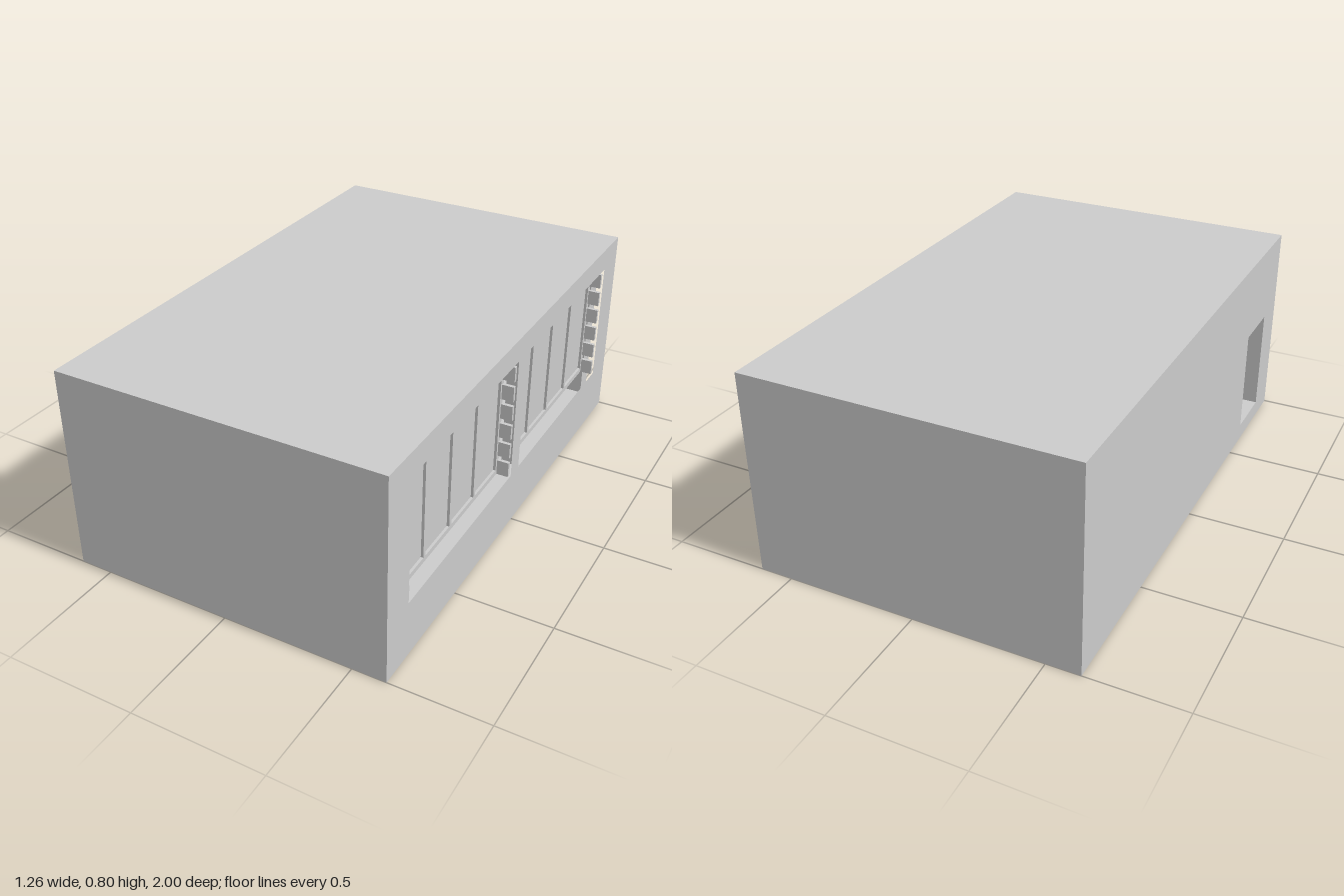
import * as THREE from 'three';

const HX = 0.628, H = 0.795, FLOOR = 0.067, ROOF = 0.05, WALL = 0.07;

export function createModel() {
  const room = new THREE.Group();
  room.name = 'room';
  const mat = new THREE.MeshStandardMaterial({ color: 0xcccccc, flatShading: true });

  // box given by its min and max corners
  const box = (name, x0, x1, y0, y1, z0, z1, parent = room) => {
    const m = new THREE.Mesh(new THREE.BoxGeometry(x1 - x0, y1 - y0, z1 - z0), mat);
    m.name = name;
    m.position.set((x0 + x1) / 2, (y0 + y1) / 2, (z0 + z1) / 2);
    parent.add(m);
    return m;
  };

  // side wall from an outline in (z, y), with rectangular holes [z0, z1, y0, y1]
  const sideWall = (name, x, outline, holes = []) => {
    const toPoints = (pts) => pts.map(([z, y]) => new THREE.Vector2(-z, y));
    const shape = new THREE.Shape(toPoints(outline));
    for (const [z0, z1, y0, y1] of holes) {
      shape.holes.push(new THREE.Path(toPoints([[z0, y0], [z1, y0], [z1, y1], [z0, y1]])));
    }
    const m = new THREE.Mesh(new THREE.ExtrudeGeometry(shape, { depth: WALL, bevelEnabled: false }), mat);
    m.name = name;
    m.rotation.y = Math.PI / 2;
    m.position.x = x;
    room.add(m);
  };

  // floor, roof and end walls
  const top = H - ROOF;
  box('floor', -HX, HX, 0, FLOOR, -1, 1);
  box('roof', -HX, HX, top, H, -1, 1);
  box('frontWall', -HX + WALL, HX - WALL, FLOOR, top, 1 - WALL, 1);
  box('backWall', -HX + WALL, HX - WALL, FLOOR, top, -1, -1 + WALL);

  // window wall
  const winHalf = 0.41, winY0 = 0.22, winY1 = 0.705, centres = [0.446, -0.446];
  sideWall('windowWall', HX - WALL,
    [[-1, FLOOR], [1, FLOOR], [1, top], [-1, top]],
    centres.map((c) => [c - winHalf, c + winHalf, winY0, winY1]));

  // wall with a doorway down to the floor
  sideWall('doorWall', -HX,
    [[-1, FLOOR], [0.625, FLOOR], [0.625, 0.48], [0.848, 0.48], [0.848, FLOOR], [1, FLOOR], [1, top], [-1, top]]);

  // windows: four panes in a recessed frame, with toothed strips on the jambs
  for (const c of centres) {
    const win = new THREE.Group();
    win.name = 'window';
    win.position.z = c;
    room.add(win);
    const back = HX - WALL, face = HX - 0.052, inner = winHalf - 0.024;
    box('panes', back + 0.002, back + 0.008, winY0, winY1, -winHalf, winHalf, win);
    box('bottomRail', back, face, winY0, winY0 + 0.02, -winHalf, winHalf, win);
    box('topRail', back, face, winY1 - 0.02, winY1, -winHalf, winHalf, win);
    for (const s of [-1, 1]) {
      const [a, b] = s < 0 ? [-winHalf, -inner] : [inner, winHalf];
      box('stile', back, face, winY0 + 0.02, winY1 - 0.02, a, b, win);
      for (let i = 0; i < 6; i++) {
        const y = winY0 + 0.0808 * i;
        const edge = s * (winHalf - 0.014);
        box('jambBlock', face, HX - 0.006, y, y + 0.06,
          Math.min(edge, s * winHalf), Math.max(edge, s * winHalf), win);
      }
    }
    for (const i of [-1, 0, 1]) {
      const z = i * 0.197;
      box('mullion', back, face, winY0 + 0.02, winY1 - 0.02, z - 0.008, z + 0.008, win);
    }
  }

  // small rack inside, against the front wall beside the doorway
  const rack = new THREE.Group();
  rack.name = 'rack';
  room.add(rack);
  for (const x of [-0.51, -0.25]) box('rackPost', x - 0.01, x + 0.01, FLOOR, 0.42, 0.89, 0.93, rack);
  for (const y of [0.24, 0.32]) box('rackRail', -0.5, -0.26, y - 0.01, y + 0.01, 0.895, 0.93, rack);

  return room;
}
